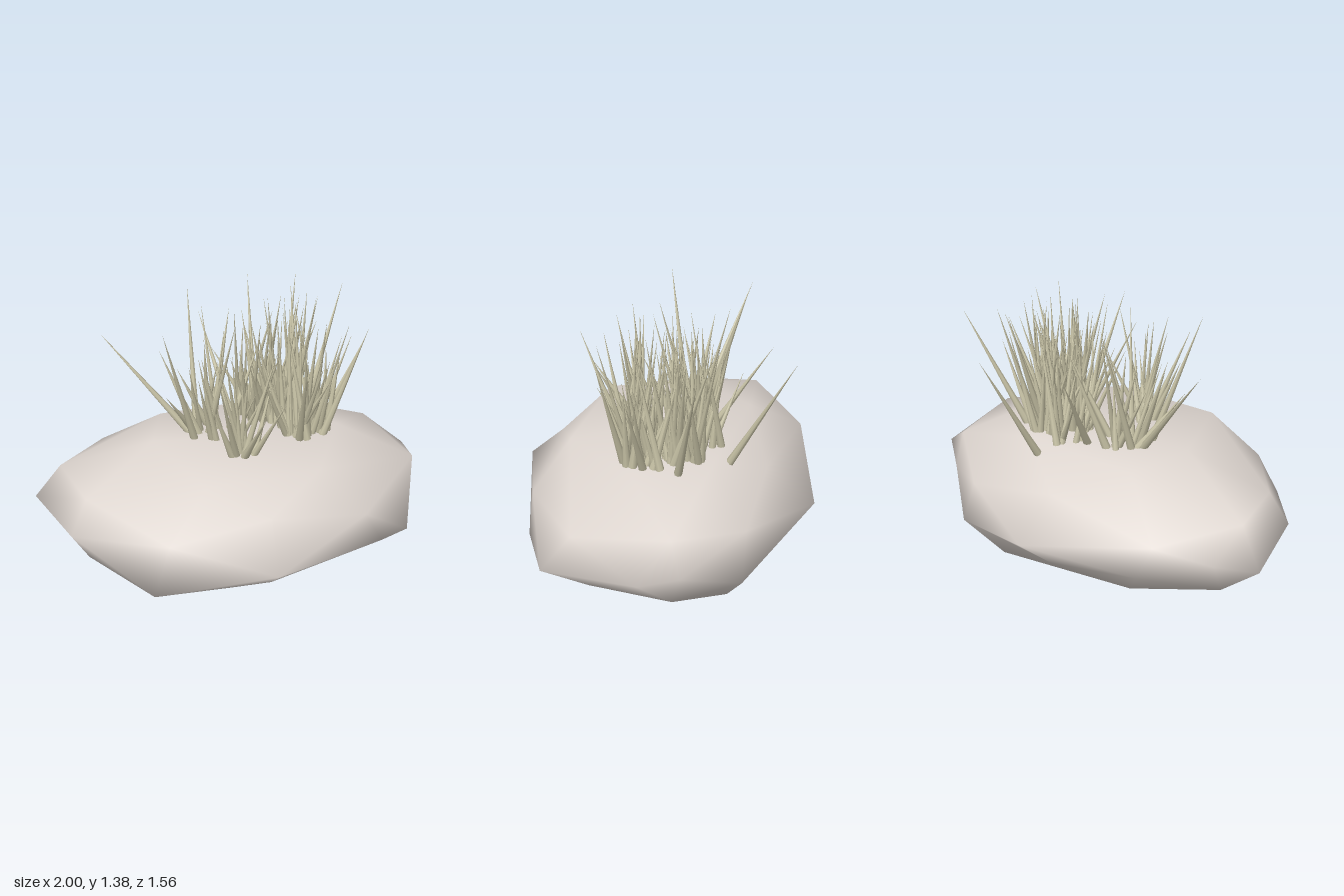
import * as THREE from 'three';
import { mergeVertices } from 'three/addons/utils/BufferGeometryUtils.js';

const rockMat = new THREE.MeshStandardMaterial({ color: 0xded6d0 });
rockMat.name = 'pale warm stone';
const grassMat = new THREE.MeshStandardMaterial({ color: 0xcac5a8 });
grassMat.name = 'dry grass';

// Knobbly corners of the stone: the nearest corner is pulled to each
const KNOBS = [
  [1, 0.37, -0.19], [-1, 0.34, -0.27], [-0.03, 0.34, 0.78], [0.03, 0.365, -0.78],
  [0.8, 0.2, 0.38], [0.83, 0.33, -0.34], [-0.9, 0.35, 0.17], [-0.82, 0.36, -0.38],
  [0.54, 0.66, 0], [-0.43, 0.7, -0.03], [0.43, 0.05, 0.13], [0.4, 0.045, 0.32],
  [0.42, 0, -0.45], [-0.13, 0.005, 0.35], [0.3, 0.66, 0.41], [-0.28, 0.67, 0.42],
  [0.6, 0.26, 0.52], [0.58, 0.2, -0.57], [-0.59, 0.22, 0.6], [-0.58, 0.46, -0.55],
  [0.9, 0.5, 0.17], [-0.87, 0.53, -0.22], [0.03, 0.525, -0.53],
];

// A once-divided icosahedron, squashed flat above and below, then made knobbly
function stoneGeometry() {
  const sphere = new THREE.IcosahedronGeometry(1, 1);
  sphere.deleteAttribute('normal');
  sphere.deleteAttribute('uv');
  const g = mergeVertices(sphere, 1e-3);
  const p = g.attributes.position;
  const corners = [];
  for (let i = 0; i < p.count; i++) {
    const v = new THREE.Vector3().fromBufferAttribute(p, i);
    const rise = Math.min(1, Math.abs(v.y) / 0.809) ** 1.4;
    v.y = 0.36 + (v.y > 0 ? 0.315 : -0.35) * rise;
    v.z = 0.68 * v.z - 0.2 * v.x ** 4;
    corners.push(v);
  }
  const pulled = KNOBS.map((knob) => {
    const target = new THREE.Vector3(...knob);
    const gaps = corners.map((c) => c.distanceTo(target));
    return [gaps.indexOf(Math.min(...gaps)), target];
  });
  pulled.forEach(([i, target]) => { corners[i] = target; });
  corners.forEach((c, i) => p.setXYZ(i, c.x, c.y, c.z));
  g.computeVertexNormals();
  return g;
}

// Small seeded generator
function seeded(seed) {
  return () => (seed = (seed * 16807) % 2147483647) / 2147483647;
}

const bladeGeometry = new THREE.ConeGeometry(1, 1, 7).translate(0, 0.5, 0);
const UP = new THREE.Vector3(0, 1, 0);

// One tapering blade from its base to its tip
function blade(base, tip, radius) {
  const from = new THREE.Vector3(...base), dir = new THREE.Vector3(...tip).sub(from);
  const mesh = new THREE.Mesh(bladeGeometry, grassMat);
  mesh.name = 'grassBlade';
  mesh.position.copy(from);
  mesh.scale.set(radius, dir.length(), radius);
  mesh.quaternion.setFromUnitVectors(UP, dir.normalize());
  return mesh;
}

// A tuft of blades scattered over an ellipse, leaning at random and a little outwards
function tuft(name, count, cx, cz, rx, rz, seed) {
  const group = new THREE.Group(), rnd = seeded(seed);
  group.name = name;
  for (let i = 0; i < count; i++) {
    const angle = rnd() * Math.PI * 2, d = Math.sqrt(rnd());
    const x = cx + Math.cos(angle) * d * rx, z = cz + Math.sin(angle) * d * rz;
    const height = 0.34 + 0.34 * rnd(), lean = 0.06 * d;
    group.add(blade([x, 0.665, z], [
      x + Math.cos(angle) * lean + (rnd() - 0.5) * 0.32,
      0.665 + height,
      z + Math.sin(angle) * lean + (rnd() - 0.5) * 0.32,
    ], 0.016 + 0.007 * rnd()));
  }
  return group;
}

export function createModel() {
  const model = new THREE.Group();
  model.name = 'grassyStone';
  const stone = new THREE.Mesh(stoneGeometry(), rockMat);
  stone.name = 'stone';
  model.add(stone);

  model.add(tuft('leftTuftBack', 40, 0.22, -0.21, 0.16, 0.14, 71));
  model.add(tuft('leftTuftFront', 50, 0.36, -0.02, 0.13, 0.15, 1234));
  model.add(tuft('rightTuftBack', 13, -0.07, -0.1, 0.11, 0.13, 907));
  model.add(tuft('rightTuftFront', 12, -0.03, 0.15, 0.09, 0.07, 555));

  // Long stray blades round the edge
  const strays = new THREE.Group();
  strays.name = 'strayBlades';
  [
    [[-0.21, 0.67, -0.1], [-0.63, 1.23, -0.25]],
    [[-0.21, 0.67, -0.03], [-0.4, 1.35, 0.12]],
    [[-0.19, 0.67, -0.12], [-0.37, 0.97, 0.03]],
    [[0.22, 0.63, -0.39], [0.28, 1.24, -0.72]],
    [[0.04, 0.67, -0.22], [-0.05, 1.15, -0.52]],
    [[-0.17, 0.67, -0.14], [-0.15, 1.38, -0.36]],
    [[0.44, 0.65, -0.2], [0.69, 1.28, -0.37]],
    [[0.46, 0.65, -0.03], [0.69, 1.12, -0.03]],
    [[0.43, 0.65, 0.08], [0.64, 1.25, 0.13]],
    [[0.3, 0.65, 0.1], [0.24, 1.24, 0.37]],
    [[-0.02, 0.67, 0.2], [0.03, 0.97, 0.39]],
    [[0.33, 0.65, -0.24], [0.44, 1.36, -0.4]],
  ].forEach(([base, tip]) => strays.add(blade(base, tip, 0.021)));
  model.add(strays);
  return model;
}
